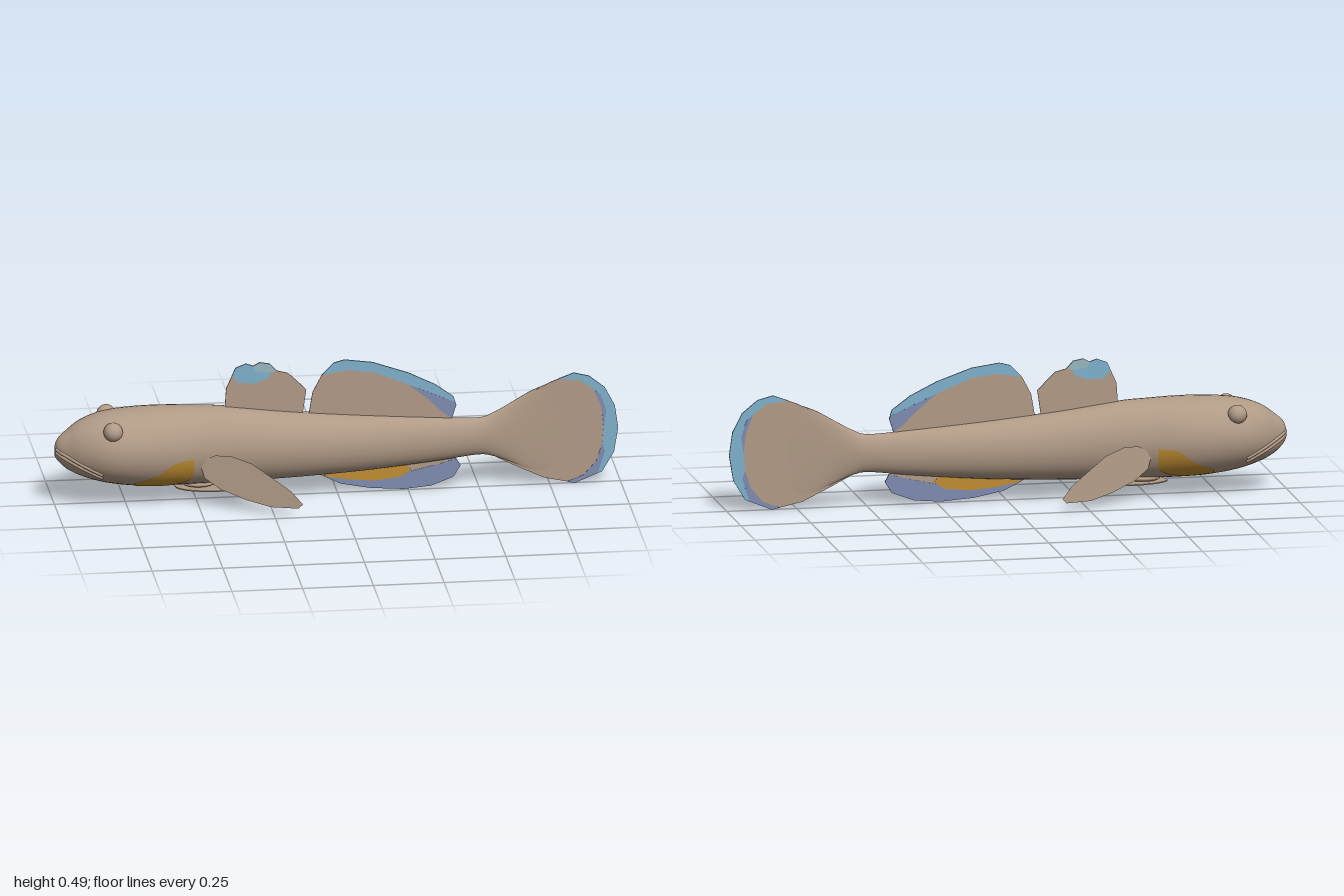
import * as THREE from 'three';

const mat = (name, color, side = THREE.FrontSide) => {
  const m = new THREE.MeshStandardMaterial({ color, side });
  m.name = name;
  return m;
};

// Body stations: x, top, bottom, half width
const STATIONS = [
  [-1, 0.222, 0.188, 0.003], [-0.988, 0.25, 0.168, 0.028], [-0.955, 0.28, 0.137, 0.056],
  [-0.905, 0.314, 0.112, 0.093], [-0.825, 0.34, 0.088, 0.129], [-0.72, 0.351, 0.072, 0.139],
  [-0.61, 0.353, 0.067, 0.132], [-0.5, 0.349, 0.067, 0.114], [-0.4, 0.343, 0.068, 0.105],
  [-0.18, 0.315, 0.073, 0.091], [0.08, 0.29, 0.086, 0.073], [0.33, 0.271, 0.108, 0.047],
  [0.49, 0.262, 0.126, 0.031], [0.55, 0.279, 0.118, 0.024], [0.62, 0.318, 0.09, 0.015],
  [0.69, 0.357, 0.055, 0.007], [0.78, 0.39, 0.026, 0.002],
];
const heights = new THREE.CatmullRomCurve3(STATIONS.map(s => new THREE.Vector3(s[0], s[1], s[2])), false, 'catmullrom', 0.5);
const widths = new THREE.CatmullRomCurve3(STATIONS.map(s => new THREE.Vector3(s[0], s[3], 0)), false, 'catmullrom', 0.5);
const sections = [];
for (let i = 0; i <= 96; i++) {
  const h = heights.getPoint(i / 96), w = widths.getPoint(i / 96);
  sections.push({ x: h.x, cy: (h.y + h.z) / 2, ry: (h.y - h.z) / 2, rz: Math.max(w.y, 0.001) });
}

// Side of the body at a given x and y, pushed out by a small factor
function skin(x, y, side, grow) {
  let i = 1;
  while (i < sections.length - 1 && sections[i].x < x) i++;
  const a = sections[i - 1], b = sections[i];
  const t = THREE.MathUtils.clamp((x - a.x) / (b.x - a.x), 0, 1);
  const mix = k => a[k] + (b[k] - a[k]) * t;
  const d = (y - mix('cy')) / (mix('ry') * grow);
  return new THREE.Vector3(x, y, side * mix('rz') * grow * Math.sqrt(Math.max(0, 1 - d * d)));
}

// Surface through a rows x cols grid; closed joins the last column to the first
function gridGeometry(rows, cols, point, closed) {
  const pos = [], idx = [];
  for (let i = 0; i < rows; i++) for (let j = 0; j < cols; j++) pos.push(...point(i, j).toArray());
  for (let i = 0; i < rows - 1; i++) for (let j = 0; j < (closed ? cols : cols - 1); j++) {
    const k = (j + 1) % cols, a = i * cols + j, b = i * cols + k, c = a + cols, d = b + cols;
    idx.push(a, b, c, b, d, c);
  }
  const g = new THREE.BufferGeometry();
  g.setAttribute('position', new THREE.Float32BufferAttribute(pos, 3));
  g.setIndex(idx);
  g.computeVertexNormals();
  return g;
}

// Thin upright plate from an outline in x and y
function plate(points, depth) {
  const g = new THREE.ExtrudeGeometry(new THREE.Shape(points.map(p => new THREE.Vector2(...p))), { depth, bevelEnabled: false });
  return g.translate(0, 0, -depth / 2);
}

export function createModel() {
  const root = new THREE.Group();
  root.name = 'fish';
  const tan = mat('tan skin', 0xb09a86);
  const tanThin = mat('tan fin', 0xb09a87, THREE.DoubleSide);
  const blue = mat('blue fin edge', 0x7fb0cc);
  const paleBlue = mat('pale blue fin spot', 0x98b7c2);
  const violet = mat('violet fin edge', 0x7f8cb2);
  const gold = mat('gold', 0xc08d33, THREE.DoubleSide);
  const add = (name, geometry, material) => {
    const m = new THREE.Mesh(geometry, material);
    m.name = name;
    root.add(m);
    return m;
  };

  // Body running into the tail stalk
  const N = 40;
  add('body', gridGeometry(sections.length, N, (i, j) => {
    const s = sections[i], t = j / N * Math.PI * 2;
    return new THREE.Vector3(s.x, s.cy + s.ry * Math.cos(t), s.rz * Math.sin(t));
  }, true), tan);

  // Tail fin with its coloured rim
  add('tailFin', plate([[0.55, 0.275], [0.66, 0.336], [0.75, 0.382], [0.835, 0.414], [0.89, 0.4], [0.945, 0.355],
    [0.98, 0.288], [0.992, 0.205], [0.977, 0.115], [0.935, 0.045], [0.84, 0.006], [0.73, 0.03], [0.62, 0.083], [0.55, 0.12]], 0.004), tan);
  add('tailRim', plate([[0.78, 0.394], [0.835, 0.414], [0.89, 0.4], [0.945, 0.355], [0.98, 0.288], [0.992, 0.205],
    [0.977, 0.115], [0.935, 0.045], [0.84, 0.006], [0.81, 0.012], [0.87, 0.035], [0.915, 0.085], [0.935, 0.15],
    [0.94, 0.21], [0.932, 0.285], [0.905, 0.35], [0.86, 0.385]], 0.006), blue);
  add('tailRimShade', plate([[0.905, 0.35], [0.93, 0.33], [0.95, 0.27], [0.94, 0.21], [0.932, 0.285]], 0.007), violet);
  add('tailRimLowerShade', plate([[0.81, 0.012], [0.84, 0.006], [0.92, 0.04], [0.945, 0.12], [0.935, 0.15], [0.915, 0.085], [0.87, 0.035]], 0.007), violet);

  // First dorsal fin
  add('firstDorsalFin', plate([[-0.4, 0.31], [-0.393, 0.41], [-0.36, 0.484], [-0.323, 0.498], [-0.297, 0.489], [-0.275, 0.501],
    [-0.238, 0.494], [-0.215, 0.468], [-0.174, 0.457], [-0.136, 0.42], [-0.11, 0.393], [-0.125, 0.29]], 0.004), tan);
  add('firstDorsalBlue', plate([[-0.373, 0.455], [-0.36, 0.484], [-0.323, 0.498], [-0.297, 0.489], [-0.238, 0.48],
    [-0.238, 0.445], [-0.29, 0.425], [-0.35, 0.428]], 0.006), blue);
  add('firstDorsalPaleSpot', plate([[-0.297, 0.489], [-0.275, 0.501], [-0.238, 0.494], [-0.215, 0.468], [-0.235, 0.462], [-0.29, 0.468]], 0.007), paleBlue);

  // Second dorsal fin
  add('secondDorsalFin', plate([[-0.105, 0.28], [-0.088, 0.382], [-0.055, 0.445], [-0.013, 0.488], [0.025, 0.498], [0.125, 0.484],
    [0.25, 0.44], [0.345, 0.393], [0.41, 0.345], [0.42, 0.313], [0.4, 0.25]], 0.004), tan);
  add('secondDorsalEdge', plate([[-0.055, 0.445], [-0.013, 0.488], [0.025, 0.498], [0.125, 0.484], [0.25, 0.44], [0.345, 0.393],
    [0.41, 0.345], [0.42, 0.313], [0.375, 0.325], [0.33, 0.355], [0.25, 0.397], [0.125, 0.448], [0.035, 0.459]], 0.006), blue);
  add('secondDorsalShade', plate([[0.25, 0.397], [0.33, 0.362], [0.415, 0.325], [0.42, 0.313], [0.403, 0.266], [0.37, 0.29], [0.32, 0.34]], 0.007), violet);

  // Anal fin
  add('analFin', plate([[-0.07, 0.08], [0.01, 0.04], [0.115, 0.019], [0.235, 0.01], [0.33, 0.018], [0.41, 0.048], [0.435, 0.088],
    [0.42, 0.115], [0.35, 0.14], [0.1, 0.12]], 0.004), tan);
  add('analFinEdge', plate([[-0.05, 0.07], [0.01, 0.04], [0.115, 0.019], [0.235, 0.01], [0.33, 0.018], [0.41, 0.048],
    [0.435, 0.088], [0.42, 0.115], [0.36, 0.098], [0.27, 0.078], [0.13, 0.05]], 0.006), violet);
  add('analFinGold', plate([[-0.05, 0.07], [0.03, 0.055], [0.13, 0.046], [0.22, 0.055], [0.26, 0.08], [0.24, 0.105], [0, 0.09]], 0.007), gold);

  // Belly sucker disc on a short stalk
  const disc = add('pelvicDisc', new THREE.CylinderGeometry(1, 1, 0.004, 32), tan);
  disc.scale.set(0.145, 1, 0.075);
  disc.position.set(-0.43, 0.055, 0);
  const stalk = add('pelvicStalk', new THREE.SphereGeometry(1, 24, 12), tan);
  stalk.scale.set(0.06, 0.015, 0.045);
  stalk.position.set(-0.49, 0.068, 0);

  const lower = new THREE.SplineCurve([[-0.725, 0.085], [-0.62, 0.078], [-0.54, 0.1], [-0.52, 0.14]].map(p => new THREE.Vector2(...p)));
  const upper = new THREE.SplineCurve([[-0.725, 0.105], [-0.65, 0.135], [-0.59, 0.18], [-0.52, 0.19]].map(p => new THREE.Vector2(...p)));
  for (const s of [1, -1]) {
    const side = s > 0 ? 'front' : 'back';

    // Eye
    const eye = add(side + 'Eye', new THREE.SphereGeometry(0.034, 24, 16), tan);
    eye.position.set(-0.805, 0.299, s * 0.1);

    // Cheek patch laid on the skin
    add(side + 'CheekPatch', gridGeometry(17, 9, (i, j) => {
      const p = lower.getPoint(i / 16).lerp(upper.getPoint(i / 16), j / 8);
      return skin(p.x, p.y, s, 1.02);
    }, false), gold);

    // Lips
    [0, 0.014].forEach((drop, k) => {
      const pts = [];
      for (let i = 0; i <= 8; i++) pts.push(skin(-0.995 + 0.155 * i / 8, 0.215 - drop - 0.075 * i / 8, s, 1));
      add(side + (k ? 'LowerLip' : 'UpperLip'), new THREE.TubeGeometry(new THREE.CatmullRomCurve3(pts), 24, 0.006, 8), tan);
    });

    // Pectoral fin, swept out and back
    const outline = [[-0.495, 0.158], [-0.483, 0.185], [-0.446, 0.204], [-0.393, 0.206], [-0.323, 0.184], [-0.26, 0.142], [-0.19, 0.094],
      [-0.152, 0.051], [-0.168, 0.035], [-0.26, 0.033], [-0.34, 0.051], [-0.43, 0.083], [-0.484, 0.12]];
    const fin = new THREE.ShapeGeometry(new THREE.Shape(outline.map(p => new THREE.Vector2(...p))));
    const a = fin.attributes.position;
    for (let i = 0; i < a.count; i++) a.setZ(i, s * (0.109 + 0.37 * (a.getX(i) + 0.495) + 0.08 * (0.12 - a.getY(i))));
    fin.computeVertexNormals();
    add(side + 'PectoralFin', fin, tanThin);
  }
  return root;
}
